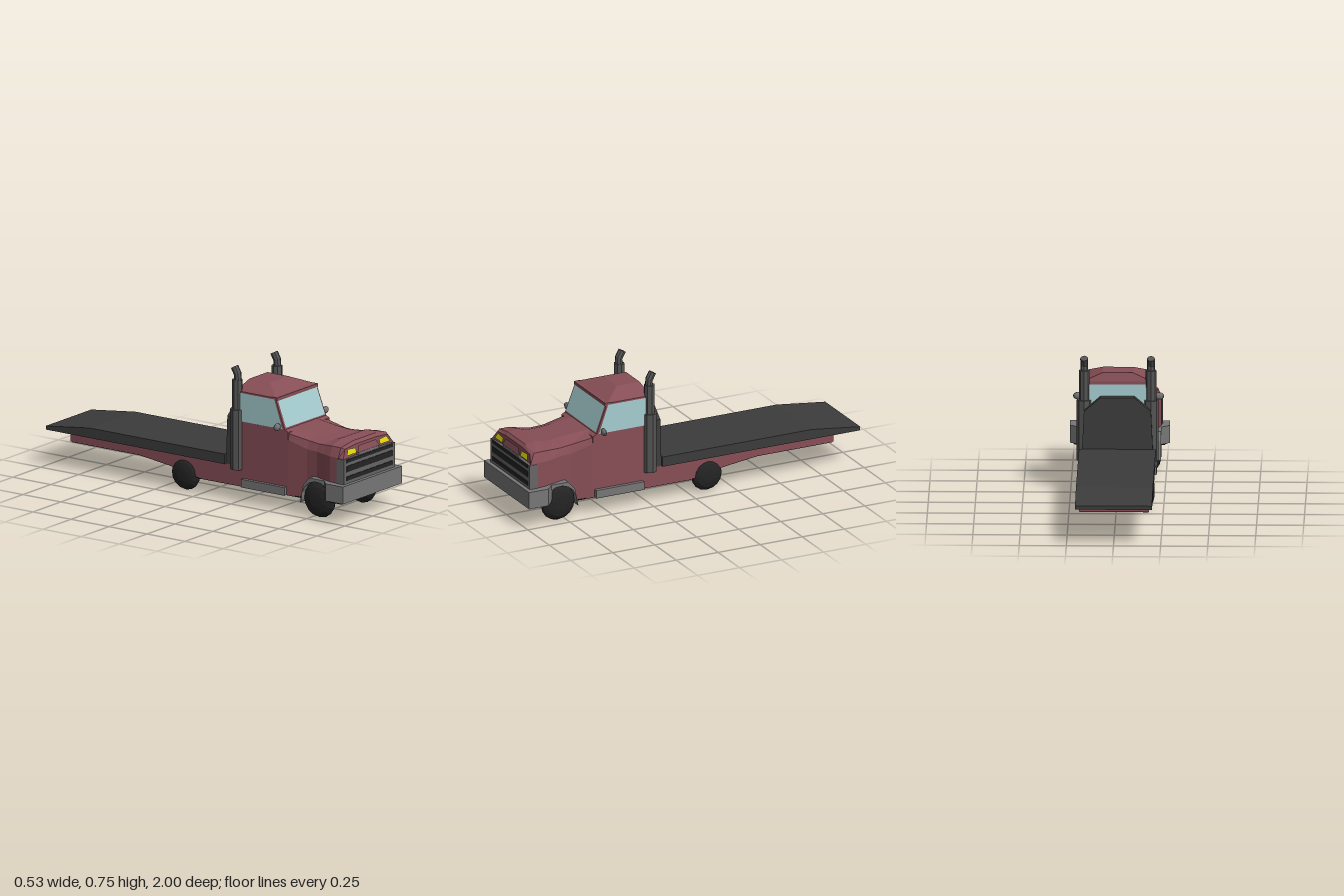
import * as THREE from 'three';
import { ConvexGeometry } from 'three/addons/geometries/ConvexGeometry.js';

const mat = (color) => new THREE.MeshStandardMaterial({ color, flatShading: true, side: THREE.DoubleSide });
const RED = mat(0x874e56), DARK = mat(0x3c3c3c), BLACK = mat(0x181818), TYRE = mat(0x242424);
const GREY = mat(0x777777), GRILLE = mat(0x666666), PIPE = mat(0x545454), GLASS = mat(0xa5cccf), LAMP = mat(0xe0da0c);

export function createModel() {
  const truck = new THREE.Group();

  const add = (name, geometry, material, x = 0, y = 0, z = 0) => {
    const mesh = new THREE.Mesh(geometry, material);
    mesh.name = name;
    mesh.position.set(x, y, z);
    truck.add(mesh);
    return mesh;
  };
  const box = (name, material, x0, x1, y0, y1, z0, z1) =>
    add(name, new THREE.BoxGeometry(x1 - x0, y1 - y0, z1 - z0), material, (x0 + x1) / 2, (y0 + y1) / 2, (z0 + z1) / 2);
  // extrude a side profile of [z, y] points across x0..x1
  const sideExtrude = (name, material, pts, x0, x1) => {
    const shape = new THREE.Shape(pts.map(([z, y]) => new THREE.Vector2(-z, y)));
    const g = new THREE.ExtrudeGeometry(shape, { depth: x1 - x0, bevelEnabled: false });
    g.rotateY(Math.PI / 2).translate(x0, 0, 0);
    return add(name, g, material);
  };
  const panel = (name, material, corners) => {
    const [a, b, c, d] = corners;
    const g = new THREE.BufferGeometry();
    g.setAttribute('position', new THREE.Float32BufferAttribute([a, b, c, a, c, d].flat(), 3));
    g.computeVertexNormals();
    return add(name, g, material);
  };

  // lower body and tapering rear frame
  sideExtrude('lowerBody', RED, [[0.58, 0.09], [0, 0.09], [-0.2, 0.13], [-0.4, 0.155], [-0.85, 0.155],
    [-0.85, 0.2], [0.23, 0.2], [0.23, 0.445], [0.56, 0.445], [0.58, 0.435]], -0.185, 0.185);
  sideExtrude('underside', BLACK, [[0.96, 0.112], [0.7, 0.088], [0, 0.086], [-0.2, 0.126], [-0.4, 0.151],
    [-0.845, 0.151], [-0.845, 0.157], [-0.4, 0.157], [-0.2, 0.132], [0, 0.092], [0.7, 0.094], [0.96, 0.12]], -0.182, 0.182);

  // bonnet: half sections [z, lowerY, sideX, sideY, shoulderX, shoulderY, topX, topY]
  const sections = [
    [0.56, 0.09, 0.185, 0.40, 0.178, 0.43, 0.1, 0.447],
    [0.70, 0.09, 0.178, 0.36, 0.164, 0.405, 0.09, 0.432],
    [0.77, 0.10, 0.185, 0.36, 0.17, 0.40, 0.09, 0.426],
    [0.83, 0.10, 0.205, 0.36, 0.183, 0.405, 0.1, 0.422],
    [0.88, 0.11, 0.22, 0.36, 0.2, 0.412, 0.1, 0.437],
    [0.94, 0.11, 0.225, 0.36, 0.202, 0.412, 0.1, 0.428],
    [0.972, 0.115, 0.225, 0.357, 0.19, 0.404, 0.09, 0.412],
  ];
  const rings = sections.map(([z, y0, sx, sy, hx, hy, tx, ty], i) => {
    const half = [[sx, y0], [sx, 0.22], [sx, sy], [hx, hy], [tx, ty]];
    const lean = i === sections.length - 1 ? 0.3 : 0;
    return [...half, ...half.map(([x, y]) => [-x, y]).reverse()]
      .map(([x, y]) => [x, y, z - lean * Math.max(0, y - 0.355)]);
  });
  const tri = [], n = rings[0].length;
  for (let i = 0; i < rings.length - 1; i++) {
    for (let j = 0; j < n; j++) {
      const k = (j + 1) % n, a = rings[i][j], b = rings[i][k], c = rings[i + 1][j], d = rings[i + 1][k];
      tri.push(a, b, c, b, d, c);
    }
  }
  const front = rings[rings.length - 1];
  for (let j = 1; j < n - 1; j++) tri.push(front[0], front[j], front[j + 1]);
  const bonnet = new THREE.BufferGeometry();
  bonnet.setAttribute('position', new THREE.Float32BufferAttribute(tri.flat(), 3));
  bonnet.computeVertexNormals();
  add('bonnet', bonnet, RED);

  // cab with hipped roof: [y, halfX, backZ, frontZ]
  const cabPoints = [];
  for (const [y, x, z0, z1] of [[0.44, 0.185, 0.23, 0.56], [0.61, 0.183, 0.235, 0.495], [0.655, 0.08, 0.25, 0.385]])
    for (const s of [-1, 1]) cabPoints.push(new THREE.Vector3(s * x, y, z0), new THREE.Vector3(s * x, y, z1));
  add('cab', new ConvexGeometry(cabPoints), RED);

  // glass
  panel('windscreen', GLASS, [[-0.175, 0.455, 0.558], [0.175, 0.453, 0.558], [0.173, 0.594, 0.505], [-0.173, 0.594, 0.505]]);
  panel('rearWindow', GLASS, [[0.165, 0.45, 0.227], [-0.165, 0.45, 0.227], [-0.165, 0.595, 0.231], [0.165, 0.595, 0.231]]);
  for (const s of [-1, 1])
    panel('sideWindow', GLASS, [[s * 0.188, 0.447, 0.545], [s * 0.188, 0.447, 0.25], [s * 0.186, 0.602, 0.25], [s * 0.186, 0.602, 0.49]]);
  box('windscreenVisor', RED, -0.183, 0.183, 0.594, 0.612, 0.47, 0.506);

  // grille with dark slots
  box('grille', GRILLE, -0.228, 0.228, 0.2, 0.355, 0.93, 0.978);
  for (const [y0, y1] of [[0.335, 0.353], [0.285, 0.317], [0.237, 0.26]])
    box('grilleSlot', TYRE, -0.206, 0.206, y0, y1, 0.96, 0.981);
  box('noseTrim', GREY, -0.09, 0.09, 0.355, 0.368, 0.95, 0.976);
  panel('nosePanel', RED, [[-0.1, 0.368, 0.974], [0.1, 0.368, 0.974], [0.075, 0.402, 0.964], [-0.075, 0.402, 0.964]]);
  for (const s of [-1, 1])
    panel('headlight', LAMP, [[s * 0.105, 0.37, 0.972], [s * 0.193, 0.37, 0.972], [s * 0.172, 0.401, 0.963], [s * 0.105, 0.396, 0.965]]);

  // bumper with swept-back ends
  const plan = new THREE.Shape([[-0.265, -1], [0.265, -1], [0.265, -0.885], [0.215, -0.84], [-0.215, -0.84], [-0.265, -0.885]]
    .map(([x, z]) => new THREE.Vector2(x, z)));
  const bumper = new THREE.ExtrudeGeometry(plan, { depth: 0.095, bevelEnabled: false });
  bumper.rotateX(-Math.PI / 2);
  bumper.scale(1, 1, -1);
  // reverse the mirrored faces, and turn the plan so that its long edge faces forward
  bumper.scale(-1, 1, -1).rotateY(Math.PI);
  bumper.computeBoundingBox();
  if (bumper.boundingBox.max.z < 0) bumper.rotateY(Math.PI);
  add('bumper', bumper, GREY, 0, 0.125, 0);
  add('bumperUnderside', new ConvexGeometry([[0.13, 0.265, 0.99], [0.113, 0.238, 0.97]].flatMap(([y, x, z]) =>
    [-x, x].flatMap((px) => [new THREE.Vector3(px, y, z), new THREE.Vector3(px, y, 0.89)]))), BLACK);

  // wheels: domed lathe discs with their axle along x
  const wheelProfile = [[0, -1], [0.4, -0.95], [0.72, -0.75], [0.92, -0.4], [1, 0], [0.92, 0.4], [0.72, 0.75], [0.4, 0.95], [0, 1]];
  const wheel = (name, x, y, z, r, halfWidth) => {
    const g = new THREE.LatheGeometry(wheelProfile.map(([a, b]) => new THREE.Vector2(a * r, b * halfWidth)), 16);
    add(name, g.rotateZ(Math.PI / 2), TYRE, x, y, z);
  };

  // front wheel arch outline: straight outer edge, curved inner edge
  const arch = [[0.895, 0.13], [0.895, 0.22], [0.745, 0.22], [0.705, 0.175], [0.685, 0.075]];
  for (let i = 0; i <= 8; i++) {
    const a = Math.PI * (1.04 - i / 8);
    arch.push([0.793 + 0.1 * Math.cos(a), 0.105 + 0.1 * Math.sin(a)]);
  }

  for (const s of [-1, 1]) {
    wheel('frontWheel', s * 0.185, 0.103, 0.79, 0.1, 0.038);
    wheel('rearWheel', s * 0.165, 0.097, -0.105, 0.09, 0.038);
    sideExtrude('wheelArch', GREY, arch, s > 0 ? 0.17 : -0.222, s > 0 ? 0.222 : -0.17);
    box('sideStep', GREY, s * 0.193 - 0.013, s * 0.193 + 0.013, 0.09, 0.135, 0.285, 0.57);

    // exhaust stack
    const tube = (name, r, y0, y1) =>
      add(name, new THREE.CylinderGeometry(r, r, y1 - y0, 8), PIPE, s * 0.177, (y0 + y1) / 2, 0.24);
    tube('exhaustBase', 0.04, 0.18, 0.51);
    tube('exhaustSleeve', 0.029, 0.5, 0.67);
    const bend = new THREE.CurvePath();
    const p = [[0.66, 0.243], [0.7, 0.243], [0.738, 0.222]].map(([y, z]) => new THREE.Vector3(s * 0.177, y, z));
    bend.add(new THREE.LineCurve3(p[0], p[1]));
    bend.add(new THREE.LineCurve3(p[1], p[2]));
    add('exhaustTip', new THREE.TubeGeometry(bend, 4, 0.021, 8), PIPE);
    const cap = add('exhaustOpening', new THREE.CircleGeometry(0.021, 8), PIPE, ...p[2].toArray());
    cap.lookAt(p[2].clone().add(p[2]).sub(p[1]));

    // wing mirror
    add('mirror', new THREE.SphereGeometry(1, 10, 7), GREY, s * 0.215, 0.463, 0.53).scale.set(0.027, 0.02, 0.013);
    box('mirrorArm', GREY, s * 0.19 - 0.01, s * 0.19 + 0.01, 0.458, 0.466, 0.526, 0.534);
  }

  // flatbed with sloping tail, and headboard
  sideExtrude('flatbed', DARK, [[0.175, 0.2], [0.175, 0.255], [-0.71, 0.255], [-1, 0.22], [-1, 0.2]], -0.204, 0.204);
  const board = new THREE.Shape([[-0.19, 0.2], [0.19, 0.2], [0.178, 0.46], [0.09, 0.535], [-0.09, 0.535], [-0.178, 0.46]]
    .map(([x, y]) => new THREE.Vector2(x, y)));
  add('headboard', new THREE.ExtrudeGeometry(board, { depth: 0.04, bevelEnabled: false }), DARK, 0, 0, 0.175);

  return truck;
}
